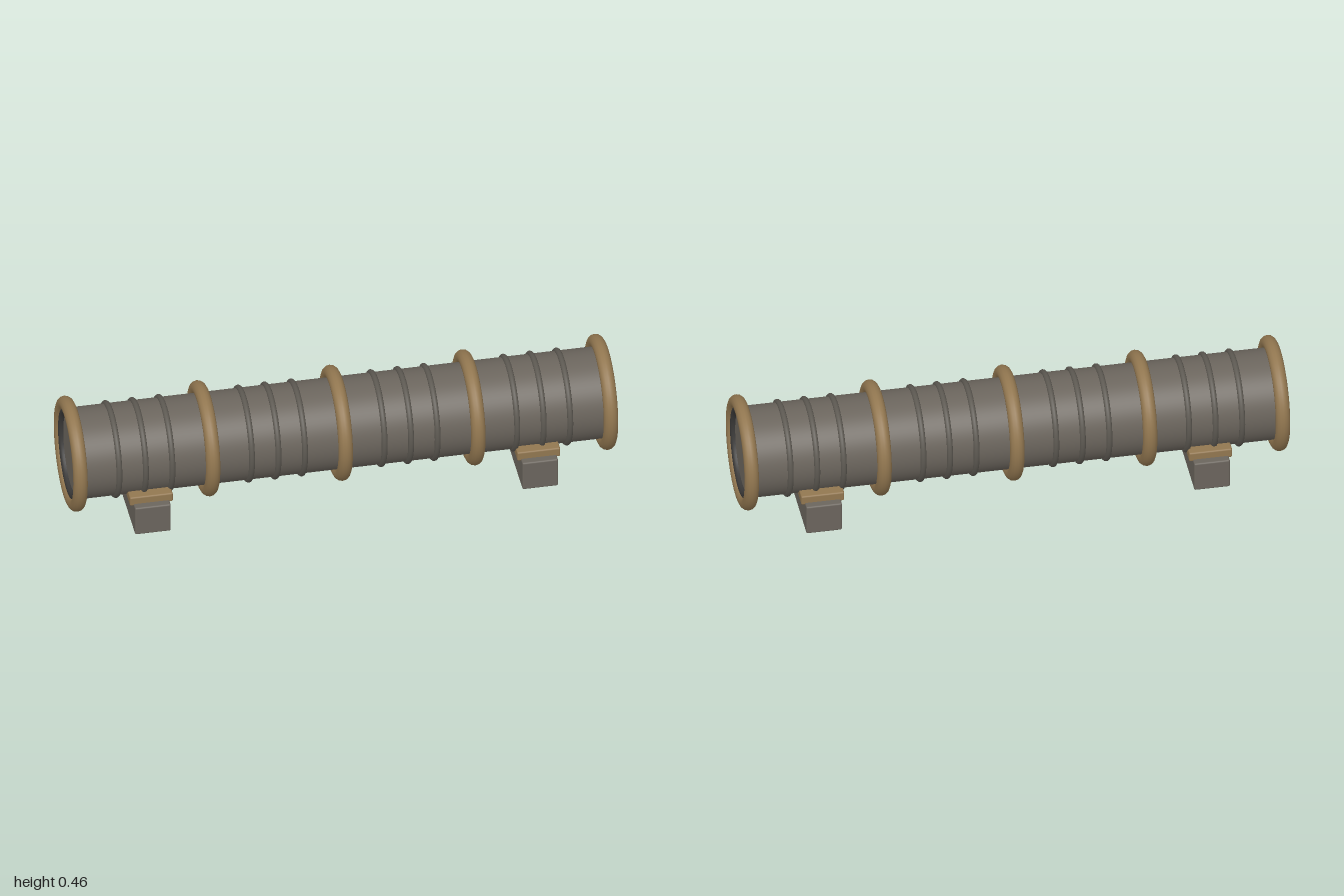
import * as THREE from 'three';
import { RoundedBoxGeometry } from 'three/addons/geometries/RoundedBoxGeometry.js';

export function createModel() {
  const model = new THREE.Group();
  model.name = 'pipeline';
  const material = (name, color) => {
    const m = new THREE.MeshStandardMaterial({ color });
    m.name = name;
    return m;
  };
  const steel = material('greySteel', 0x6b655d);
  const ribSteel = material('ribSteel', 0x5d5952);
  const brass = material('agedBrass', 0x927750);
  const dark = material('darkLip', 0x3b3a39);

  // The pipe runs along local x, turned diagonally on the ground.
  const pipe = new THREE.Group();
  pipe.name = 'pipe';
  pipe.rotation.y = THREE.MathUtils.degToRad(25);
  model.add(pipe);

  const axisY = 0.248;
  const half = 0.986;
  const spacing = half / 2;

  const add = (name, geometry, mat, x, y) => {
    const mesh = new THREE.Mesh(geometry, mat);
    mesh.name = name;
    mesh.position.set(x, y, 0);
    pipe.add(mesh);
    return mesh;
  };
  const ring = (radius, tube) => new THREE.TorusGeometry(radius, tube, 14, 64).rotateY(Math.PI / 2);

  // Closed barrel
  const barrel = new THREE.CylinderGeometry(0.169, 0.169, half * 2, 64).rotateZ(Math.PI / 2);
  add('barrel', barrel, steel, 0, axisY);

  // Thick collars, with three thin ribs between each pair
  const collar = ring(0.187, 0.0265);
  const rib = ring(0.169, 0.011);
  for (let i = 0; i < 5; i++) {
    const x = -half + i * spacing;
    add('collar', collar, brass, x, axisY);
    if (i === 4) continue;
    for (const f of [0.3, 0.5, 0.7]) add('rib', rib, ribSteel, x + f * spacing, axisY);
  }

  // Dark lips around the end caps
  const lip = ring(0.16, 0.016);
  for (const side of [-1, 1]) add('endLip', lip, dark, side * half, axisY);

  // Two support blocks with brass saddles
  const block = new RoundedBoxGeometry(0.133, 0.12, 0.412, 2, 0.006);
  const saddle = new RoundedBoxGeometry(0.16, 0.038, 0.355, 2, 0.006);
  for (const side of [-1, 1]) {
    add('supportBlock', block, steel, side * 0.72, 0.06);
    add('saddle', saddle, brass, side * 0.72, 0.13);
  }
  return model;
}
